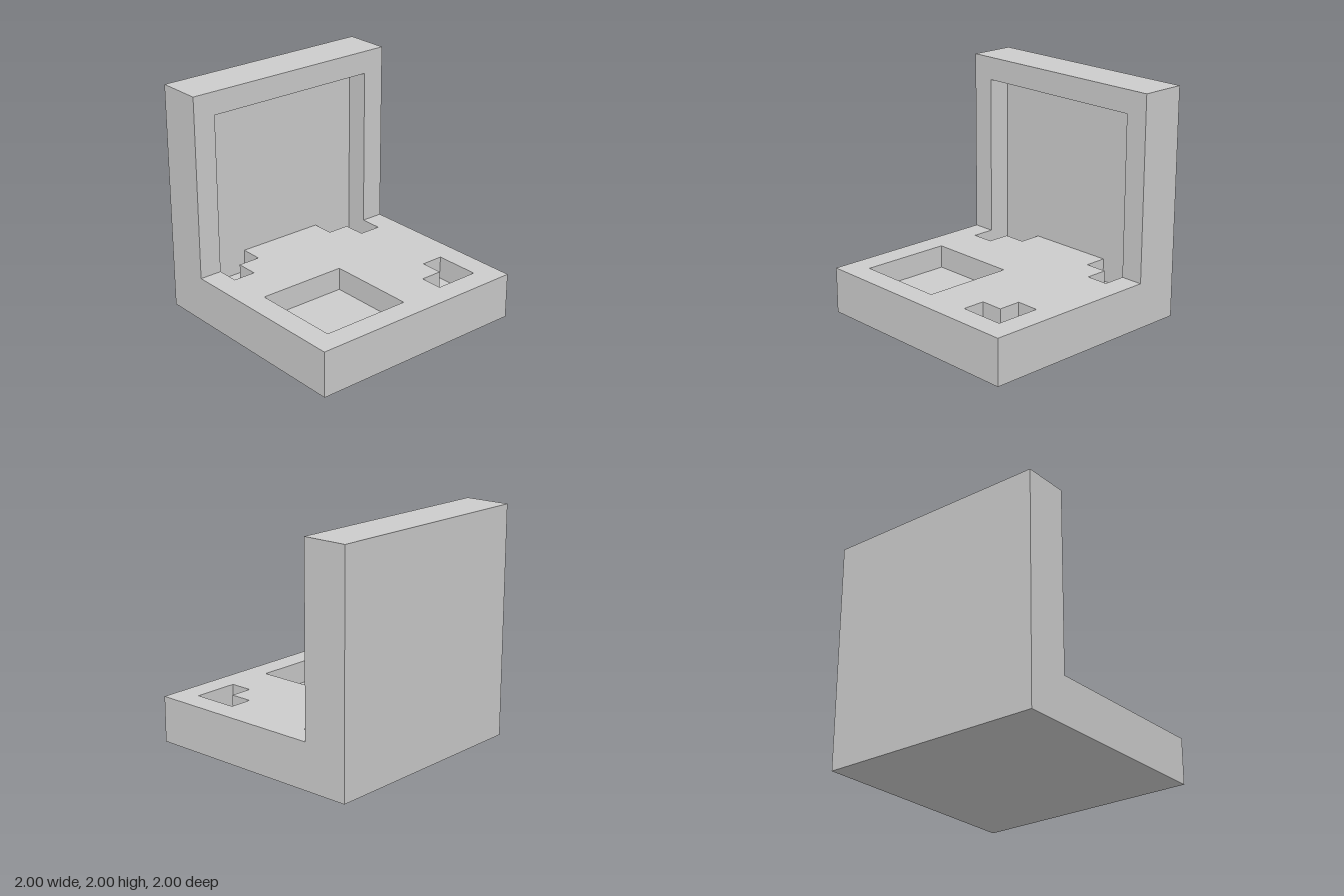
import * as THREE from 'three';

const material = new THREE.MeshStandardMaterial({ color: 0xcccccc, flatShading: true });
const points = (list) => list.map(([x, y]) => new THREE.Vector2(x, y));

function addPart(group, name, geometry) {
  const mesh = new THREE.Mesh(geometry, material);
  mesh.name = name;
  group.add(mesh);
  return mesh;
}

function extrude(outline, depth, holes = []) {
  const shape = new THREE.Shape(points(outline));
  shape.holes = holes.map((hole) => new THREE.Path(points(hole)));
  return new THREE.ExtrudeGeometry(shape, { depth, bevelEnabled: false });
}

export function createModel() {
  const model = new THREE.Group();
  model.name = 'uprightBlock';

  // Solid underside slab, also the floor of every pocket
  addPart(model, 'baseSlab', new THREE.BoxGeometry(2, 0.2, 2)).position.y = 0.1;

  // Deck drawn in plan (second coordinate is -z): rear L-shaped slots mirrored about x = 0
  const rightSide = [[1, -1], [1, 0.8], [0.8, 0.8], [0.8, 0.4], [0.6, 0.4], [0.6, 0.6], [0.4, 0.6], [0.4, 0.8]];
  const leftSide = rightSide.map(([x, y]) => [-x, y]).reverse();
  const squarePocket = [[-0.8, -0.8], [0, -0.8], [0, 0], [-0.8, 0]];
  const cornerPocket = [[0.4, -0.8], [0.8, -0.8], [0.8, -0.4], [0.6, -0.4], [0.6, -0.6], [0.4, -0.6]];
  const deck = extrude([...rightSide, ...leftSide], 0.2, [squarePocket, cornerPocket]);
  deck.rotateX(-Math.PI / 2);
  addPart(model, 'deck', deck).position.y = 0.2;

  // Rear panel behind the recess
  addPart(model, 'backPanel', new THREE.BoxGeometry(2, 1.8, 0.2)).position.set(0, 1.1, -0.9);

  // Raised border around the upright recess, open at the deck
  const border = [[-1, 0.4], [-0.8, 0.4], [-0.8, 1.8], [0.8, 1.8], [0.8, 0.4], [1, 0.4], [1, 2], [-1, 2]];
  addPart(model, 'wallBorder', extrude(border, 0.2)).position.z = -0.8;

  // Deck strips under the border posts
  for (const side of [-1, 1]) {
    const strip = addPart(model, side > 0 ? 'leftPostFoot' : 'rightPostFoot', new THREE.BoxGeometry(0.2, 0.2, 0.2));
    strip.position.set(side * 0.9, 0.3, -0.7);
  }

  return model;
}
